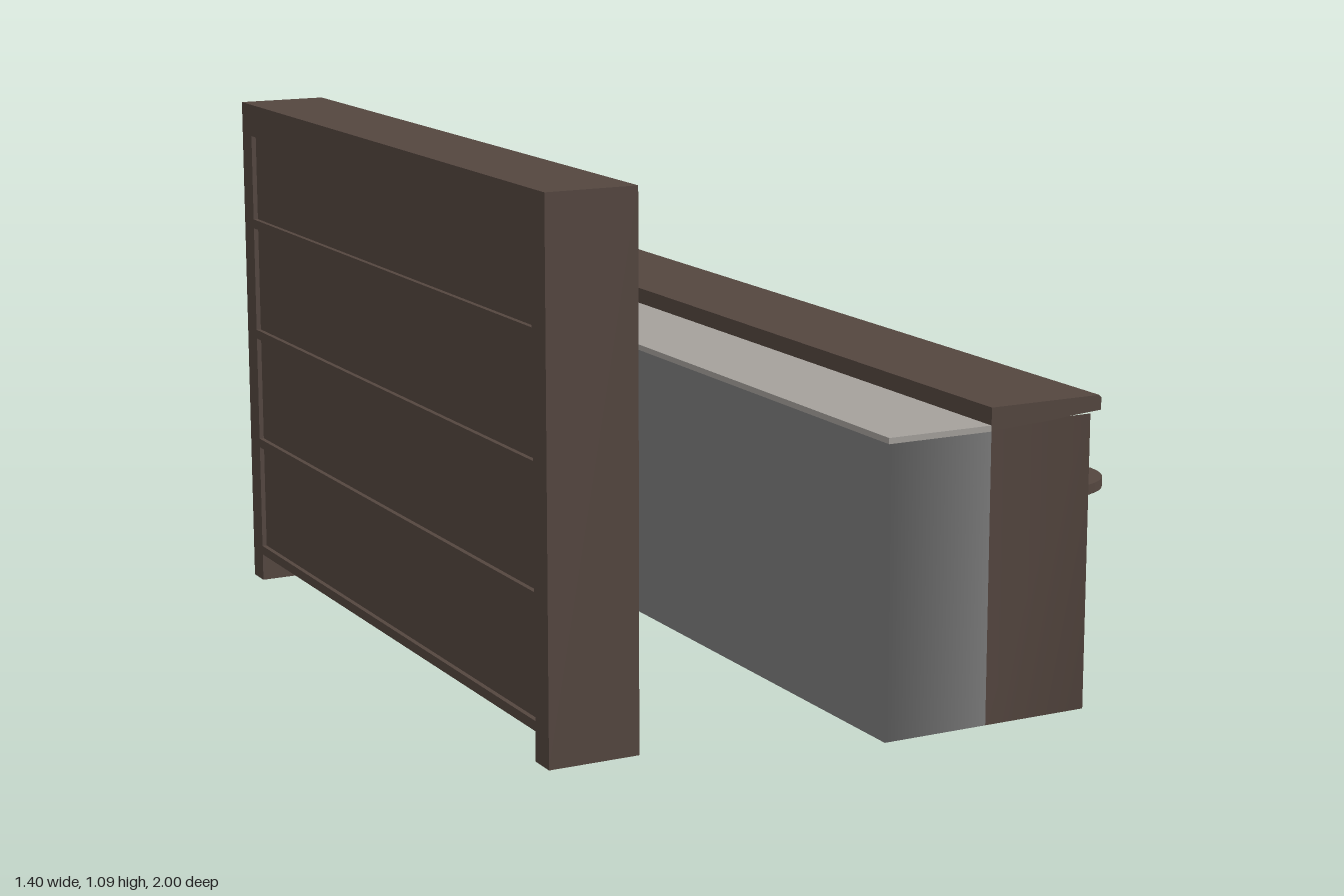
import * as THREE from 'three';

const mat = (name, color, double) => {
  const m = new THREE.MeshStandardMaterial({ color });
  m.name = name;
  if (double) m.side = THREE.DoubleSide;
  return m;
};

export function createModel() {
  const wood = mat('dark wood', 0x54463f);
  const grey = mat('grey cabinet', 0x7c7c7c);
  const stone = mat('pale worktop', 0xa5a19c);
  const steel = mat('steel', 0xc4c1bb);
  const root = new THREE.Group();

  const add = (parent, name, geometry, material) => {
    const mesh = new THREE.Mesh(geometry, material);
    mesh.name = name;
    parent.add(mesh);
    return mesh;
  };
  // Box given by its limits on each axis
  const box = (parent, name, material, [x0, x1], [y0, y1], [z0, z1]) => {
    const mesh = add(parent, name, new THREE.BoxGeometry(x1 - x0, y1 - y0, z1 - z0), material);
    mesh.position.set((x0 + x1) / 2, (y0 + y1) / 2, (z0 + z1) / 2);
    return mesh;
  };
  const group = (name) => {
    const g = new THREE.Group();
    g.name = name;
    root.add(g);
    return g;
  };
  // Upright wall along a path of [x, z] points, with normals blended round the corners
  const wall = (path, y0, y1) => {
    const pos = [], index = [];
    path.forEach(([x, z], i) => {
      pos.push(x, y0, z, x, y1, z);
      const a = i * 2;
      if (i) index.push(a - 2, a, a + 1, a - 2, a + 1, a - 1);
    });
    const g = new THREE.BufferGeometry();
    g.setAttribute('position', new THREE.Float32BufferAttribute(pos, 3));
    g.setIndex(index);
    g.computeVertexNormals();
    return g;
  };
  // Flat horizontal frame: a rectangle with a rectangular hole
  const frame = (o, h, y0, y1) => {
    const rect = (P, [x0, x1, z0, z1]) => {
      const p = new P();
      p.moveTo(x0, -z0).lineTo(x1, -z0).lineTo(x1, -z1).lineTo(x0, -z1).closePath();
      return p;
    };
    const s = rect(THREE.Shape, o);
    s.holes.push(rect(THREE.Path, h));
    return new THREE.ExtrudeGeometry(s, { depth: y1 - y0, bevelEnabled: false })
      .rotateX(-Math.PI / 2).translate(0, y0, 0);
  };

  // Shelf unit
  const shelf = group('shelfUnit');
  const depth = [-0.7, -0.51], inner = [-0.66, 0.787];
  box(shelf, 'sidePanel', wood, depth, [0, 1.09], [0.787, 0.845]);
  box(shelf, 'sidePanel', wood, depth, [0, 1.09], [-0.715, -0.66]);
  box(shelf, 'topPanel', wood, depth, [1.02, 1.09], inner);
  for (const y of [0.833, 0.582, 0.331, 0.08]) {
    box(shelf, 'shelfBoard', wood, depth, [y - 0.02, y], inner);
  }
  box(shelf, 'backPanel', wood, [-0.69, -0.68], [0.07, 1.02], inner);
  box(shelf, 'kickBoard', wood, [-0.53, -0.51], [0, 0.06], inner);

  // Counter body
  const counter = group('counter');
  add(counter, 'barFront', wall([[0.17, 1], [0.4, 1], [0.4, -1], [0.17, -1]], 0, 0.6), wood);
  add(counter, 'cabinet',
    wall([[0.17, -1], [-0.06, -1], [-0.06, -0.5], [-0.06, 1], [0.17, 1]], 0, 0.588), grey);
  box(counter, 'counterBottom', wood, [-0.059, 0.399], [0.001, 0.01], [-0.999, 0.999]);
  box(counter, 'worktop', stone, [-0.06, 0.17], [0.588, 0.6], [-0.5, 1]);

  // Raised bar top, thicker under the overhang
  const edge = new THREE.Shape();
  edge.moveTo(0.17, 0.59).lineTo(0.27, 0.592).lineTo(0.35, 0.6).lineTo(0.425, 0.605)
    .lineTo(0.425, 0.63).lineTo(0.42, 0.635).lineTo(0.17, 0.635).closePath();
  add(counter, 'barTop',
    new THREE.ExtrudeGeometry(edge, { depth: 2, bevelEnabled: false }).translate(0, 0, -1), wood);

  // Sink and its surround
  const sink = group('sink');
  const hole = [-0.04, 0.137, -0.94, -0.68];
  add(sink, 'sinkTop', frame([-0.06, 0.17, -1, -0.5], hole, 0.588, 0.6), grey);
  add(sink, 'basinWalls',
    frame([-0.045, 0.142, -0.945, -0.675], [-0.037, 0.134, -0.937, -0.683], 0.54, 0.599), steel);
  box(sink, 'basinFloor', steel, [-0.045, 0.142], [0.532, 0.54], [-0.945, -0.675]);

  // Tap
  const tap = group('tap');
  box(tap, 'tapPost', steel, [0.145, 0.16], [0.6, 0.68], [-0.79, -0.775]);
  box(tap, 'tapSpout', steel, [0.075, 0.16], [0.662, 0.68], [-0.795, -0.772]);
  box(tap, 'tapHandle', steel, [0.135, 0.158], [0.633, 0.645], [-0.785, -0.75]);

  // Stools
  const lathe = (points, n) =>
    new THREE.LatheGeometry(points.map(([r, y]) => new THREE.Vector2(r, y)), n);
  const stem = new THREE.SplineCurve([[0.038, 0], [0.028, 0.09], [0.018, 0.18], [0.026, 0.26], [0.036, 0.345]]
    .map(([r, y]) => new THREE.Vector2(r, y))).getPoints(12);
  for (const z of [-0.68, -0.045, 0.59]) {
    const stool = group('stool');
    stool.position.set(0.574, 0, z);
    add(stool, 'stoolStem', new THREE.LatheGeometry(stem, 20), grey);
    add(stool, 'stemFoot', new THREE.CircleGeometry(0.038, 20).rotateX(Math.PI / 2), grey);
    // Doubled profile points keep the seat edges sharp
    add(stool, 'stoolSeat', lathe([[0, 0.342], [0.11, 0.342], [0.11, 0.342], [0.126, 0.35],
      [0.126, 0.35], [0.126, 0.371], [0.126, 0.371], [0, 0.371]], 40).toNonIndexed(), wood)
      .geometry.computeVertexNormals();
  }
  return root;
}
